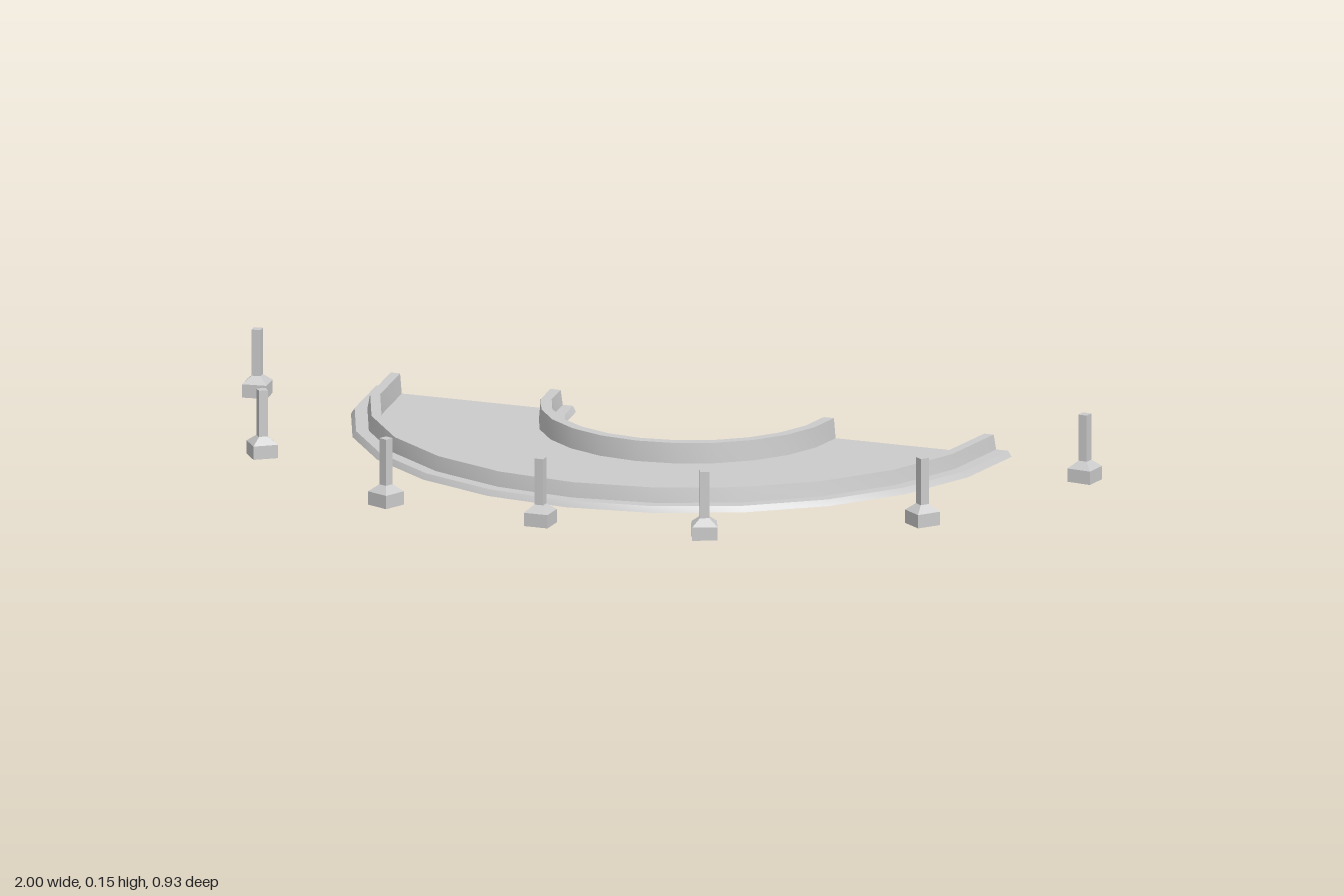
import * as THREE from 'three';
import { toCreasedNormals } from 'three/addons/utils/BufferGeometryUtils.js';

const BACK = -0.465; // z of the straight edge, centre of the half ring
const SEGMENTS = 12;

const material = new THREE.MeshStandardMaterial({ color: 0xcccccc, side: THREE.DoubleSide });
const postMaterial = new THREE.MeshStandardMaterial({ color: 0xcccccc, flatShading: true });

const toPoints = (pairs) => pairs.map(([r, y]) => new THREE.Vector2(r, y));

// Sweep a profile of [radius, height] around the front half circle
function halfRing(name, pairs) {
  const lathe = new THREE.LatheGeometry(toPoints(pairs), SEGMENTS, -Math.PI / 2, Math.PI);
  const mesh = new THREE.Mesh(toCreasedNormals(lathe, 0.4), material);
  mesh.name = name;
  return mesh;
}

// A curb: swept profile with a flat cap on each cut end
function curb(name, pairs) {
  const group = new THREE.Group();
  group.name = name;
  group.add(halfRing(name + 'Rail', pairs));
  for (const side of [-1, 1]) {
    const shape = new THREE.Shape(toPoints(pairs.map(([r, y]) => [side * r, y])));
    const cap = new THREE.Mesh(new THREE.ShapeGeometry(shape), material);
    cap.name = name + 'EndCap';
    cap.rotation.y = 0;
    group.add(cap);
  }
  return group;
}

// Square post: block base, sloped shoulder and slim shaft
function post(x, z, geometry) {
  const mesh = new THREE.Mesh(geometry, postMaterial);
  mesh.name = 'post';
  mesh.position.set(x, 0, z);
  mesh.rotation.y = Math.atan2(x, z - BACK); // turned to face the ring centre
  return mesh;
}

export function createModel() {
  const model = new THREE.Group();
  model.name = 'curvedPlatform';

  // Half ring platform
  const platform = new THREE.Group();
  platform.name = 'platform';
  platform.position.z = BACK;
  platform.add(
    halfRing('floor', [[0.684, 0.001], [0.332, 0.001]]),
    curb('outerCurb', [[0.748, 0], [0.74, 0.013], [0.712, 0.013], [0.706, 0.046], [0.684, 0.046], [0.68, 0]]),
    curb('innerCurb', [[0.336, 0], [0.332, 0.046], [0.308, 0.046], [0.303, 0.013], [0.279, 0.013], [0.272, 0]])
  );
  model.add(platform);

  // Posts standing around the outer edge
  const profile = toPoints([[0, 0], [0.039, 0], [0.039, 0.03], [0.0145, 0.046], [0.0145, 0.15], [0, 0.15]]);
  const postGeometry = new THREE.LatheGeometry(profile, 4, Math.PI / 4);
  const posts = new THREE.Group();
  posts.name = 'posts';
  posts.add(post(0, 0.435, postGeometry));
  for (const [x, z] of [[0.373, 0.406], [0.773, 0.127], [0.969, -0.34]]) {
    posts.add(post(x, z, postGeometry), post(-x, z, postGeometry));
  }
  model.add(posts);
  return model;
}
